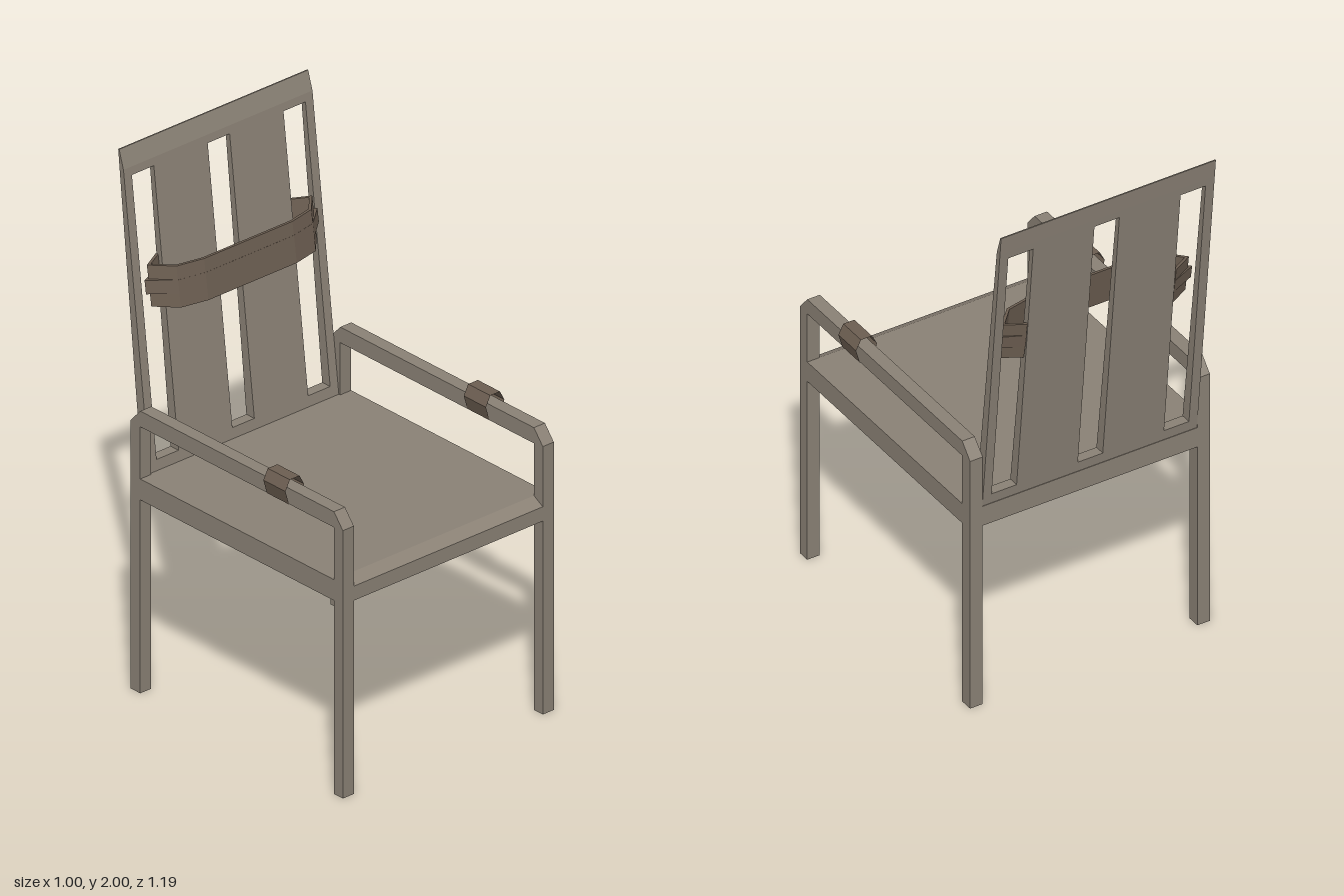
import * as THREE from 'three';

const wood = new THREE.MeshStandardMaterial({ color: 0x8a8175, flatShading: true, side: THREE.DoubleSide });
const leather = new THREE.MeshStandardMaterial({ color: 0x6c5e51, flatShading: true, side: THREE.DoubleSide });

const V = (pts) => pts.map(([a, b]) => new THREE.Vector2(a, b));

function part(name, geometry, material = wood) {
  const mesh = new THREE.Mesh(geometry, material);
  mesh.name = name;
  return mesh;
}

function fromTriangles(pos) {
  const g = new THREE.BufferGeometry();
  g.setAttribute('position', new THREE.Float32BufferAttribute(pos, 3));
  g.computeVertexNormals();
  return g;
}

// Side profile of [z, y] points, extruded across x around the given x
function sideProfile(pts, width, x = 0) {
  const g = new THREE.ExtrudeGeometry(new THREE.Shape(V(pts)), { depth: width, bevelEnabled: false });
  g.translate(0, 0, -width / 2);
  g.rotateY(-Math.PI / 2);
  g.translate(x, 0, 0);
  return g;
}

// Remove the faces lying flat at height y, leaving the underside open
function openBelow(g, y) {
  const p = g.attributes.position;
  const kept = [];
  for (let i = 0; i < p.count; i += 3) {
    const flat = [0, 1, 2].every((k) => Math.abs(p.getY(i + k) - y) < 1e-4);
    if (!flat) kept.push(...p.array.slice(i * 3, i * 3 + 9));
  }
  return fromTriangles(kept);
}

// Leaning planes of the backrest
const backFront = (y) => -0.437 - 0.12 * (y - 0.82);
const backRear = (y) => -0.478 - 0.101 * (y - 0.82);

function backrestGeometry() {
  const rect = (x0, y0, x1, y1) => V([[x0, y0], [x1, y0], [x1, y1], [x0, y1]]);
  const shape = new THREE.Shape(rect(-0.43, 0.82, 0.43, 1.93));
  for (const [x0, x1] of [[-0.395, -0.295], [-0.05, 0.05], [0.295, 0.395]])
    shape.holes.push(new THREE.Path(rect(x0, 0.86, x1, 1.9)));
  const g = new THREE.ExtrudeGeometry(shape, { depth: 1, bevelEnabled: false });
  const p = g.attributes.position;
  for (let i = 0; i < p.count; i++)
    p.setZ(i, p.getZ(i) > 0.5 ? backFront(p.getY(i)) : backRear(p.getY(i)));
  g.computeVertexNormals();
  return g;
}

// Flat band between heights y0 and y1, bent in plan with its side corners at tipX
function strapGeometry(y0, y1, tipX, thickness) {
  const half = [[0.2, -0.416], [0.302, -0.437], [tipX, -0.498], [0.293, -0.535]];
  const path = V([...half.map(([x, z]) => [-x, z]).reverse(), ...half]);
  const band = [[thickness, y0], [thickness, y1], [0, y1], [0, y0]];
  const last = path.length - 1;
  const normal = (i) => {
    const d = path[i + 1].clone().sub(path[i]).normalize();
    return new THREE.Vector2(-d.y, d.x);
  };
  const rings = path.map((p, i) => {
    const n0 = normal(Math.max(i - 1, 0));
    const n1 = normal(Math.min(i, last - 1));
    const n = n0.clone().add(n1).divideScalar(1 + n0.dot(n1));
    return band.map(([o, y]) => [p.x + n.x * o, y, p.y + n.y * o - 0.15 * (y - 1.495)]);
  });
  const pos = [];
  const quad = (a, b, c, d) => [a, b, c, a, c, d].forEach((v) => pos.push(...v));
  for (let i = 0; i < last; i++) {
    for (let j = 0; j < 4; j++) {
      const k = (j + 1) % 4;
      quad(rings[i][j], rings[i + 1][j], rings[i + 1][k], rings[i][k]);
    }
  }
  quad(...rings[0]);
  quad(...rings[last].slice().reverse());
  return fromTriangles(pos);
}

// Thin open cuff folded over an armrest
function cuffGeometry(side) {
  const section = [[-0.026, 1.02], [-0.042, 1.075], [-0.022, 1.113], [0.022, 1.113], [0.042, 1.075], [0.026, 1.02]];
  const [z0, z1] = [0.213, 0.325];
  const pos = [];
  for (let i = 0; i + 1 < section.length; i++) {
    const [[x0, y0], [x1, y1]] = [section[i], section[i + 1]].map(([x, y]) => [side * 0.456 + x, y]);
    pos.push(x0, y0, z0, x0, y0, z1, x1, y1, z1, x0, y0, z0, x1, y1, z1, x1, y1, z0);
  }
  return fromTriangles(pos);
}

export function createModel() {
  const chair = new THREE.Group();
  chair.name = 'armchair';

  // Side frames: legs and armrest in one chamfered arch
  const arch = [
    [-0.48, 0], [-0.43, 0], [-0.43, 1.02], [0.55, 1.02], [0.55, 0], [0.595, 0],
    [0.595, 1.025], [0.55, 1.08], [-0.43, 1.08], [-0.48, 1.025],
  ];
  for (const [side, label] of [[1, 'left'], [-1, 'right']]) {
    chair.add(part(label + 'SideFrame', openBelow(sideProfile(arch, 0.05, side * 0.455), 0)));
    chair.add(part(label + 'ArmCuff', cuffGeometry(side), leather));
  }

  // Seat: a shell with a skirt around it and a sloped front edge, open below
  const seat = [[-0.48, 0.74], [0.595, 0.74], [0.595, 0.795], [0.55, 0.82], [-0.48, 0.82]];
  chair.add(part('seat', openBelow(sideProfile(seat, 0.96), 0.74)));

  // Slatted backrest with a bevelled top edge
  chair.add(part('backrest', backrestGeometry()));
  chair.add(part('backrestTop', sideProfile(
    [[backRear(1.93), 1.93], [backFront(1.93), 1.93], [-0.592, 2], [-0.597, 2]], 0.86)));

  // Wide strap with a narrow one running along its middle
  chair.add(part('backStrap', strapGeometry(1.42, 1.57, 0.36, 0.01), leather));
  chair.add(part('backStrapCore', strapGeometry(1.47, 1.52, 0.374, 0.0105), leather));
  return chair;
}
